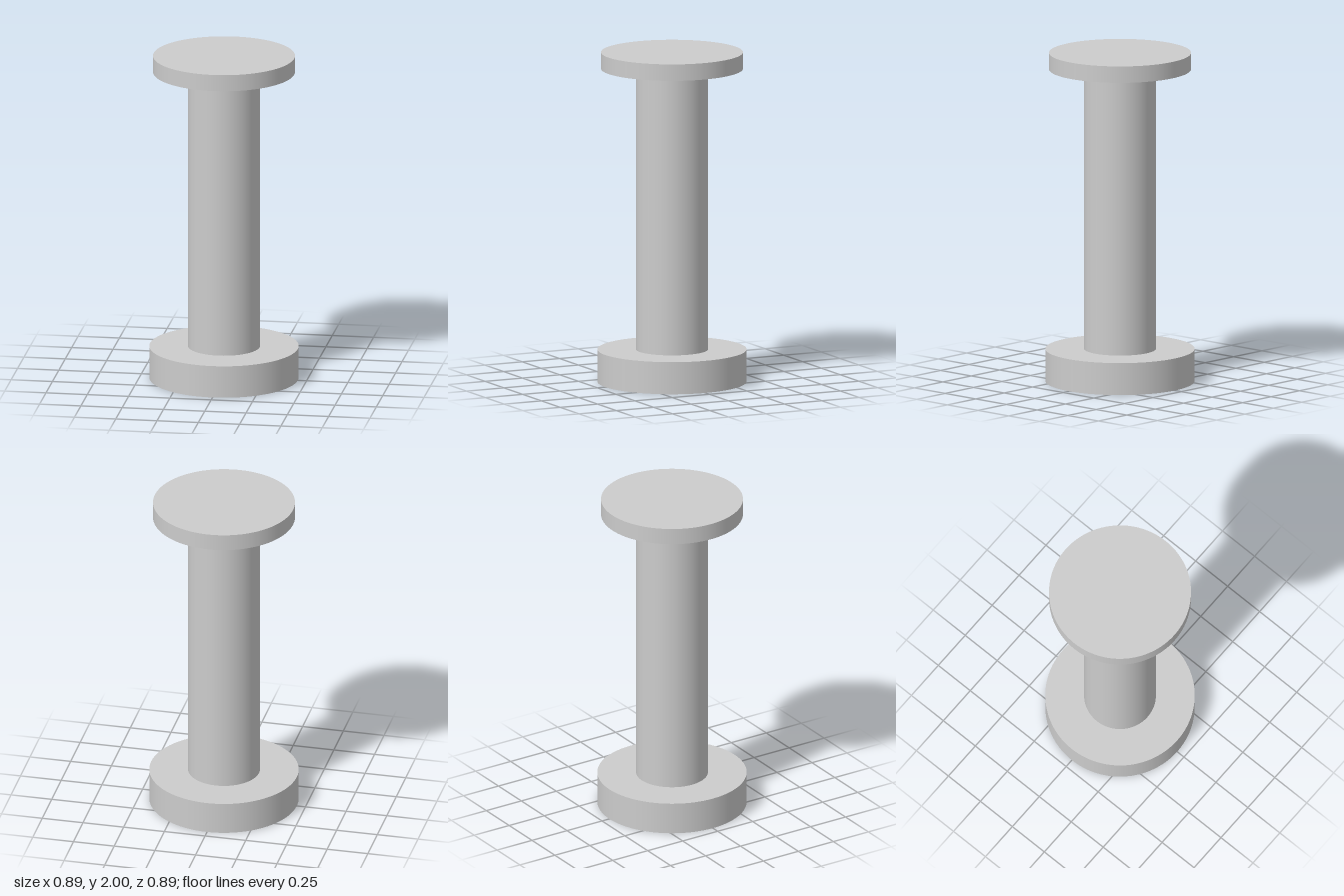
import * as THREE from 'three';

export function createModel() {
  const model = new THREE.Group();
  const grey = new THREE.MeshStandardMaterial({ color: 0xcccccc });
  grey.name = 'light grey';

  // Upright round part spanning bottom to top
  function addDisc(name, radius, bottom, top) {
    const geometry = new THREE.CylinderGeometry(radius, radius, top - bottom, 96);
    const mesh = new THREE.Mesh(geometry, grey);
    mesh.name = name;
    mesh.position.y = (bottom + top) / 2;
    model.add(mesh);
  }

  addDisc('base', 0.447, 0, 0.195);
  addDisc('column', 0.215, 0.195, 1.9);
  addDisc('topPlate', 0.425, 1.9, 2);

  return model;
}
